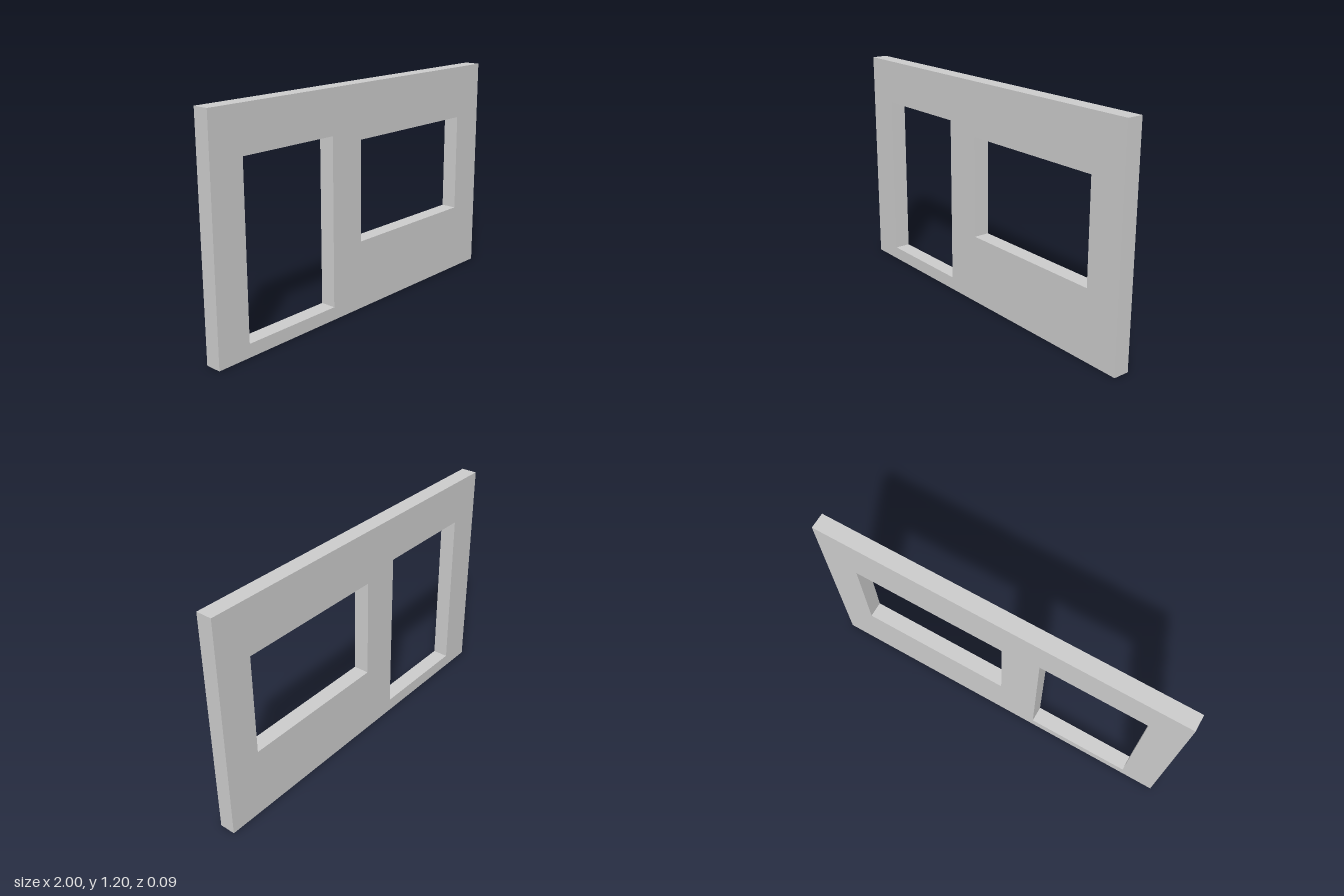
import * as THREE from 'three';

const THICKNESS = 0.086;

// Traces a rectangle from its lower-left to its upper-right corner
function traceRect(path, x0, y0, x1, y1) {
  path.moveTo(x0, y0);
  path.lineTo(x1, y0);
  path.lineTo(x1, y1);
  path.lineTo(x0, y1);
  path.closePath();
  return path;
}

export function createModel() {
  const group = new THREE.Group();
  group.name = 'wallPanel';

  // Wall outline with a door opening and a window opening
  const outline = traceRect(new THREE.Shape(), -1, 0, 1, 1.2);
  const doorOpening = traceRect(new THREE.Path(), -0.815, 0.07, -0.24, 0.963);
  const windowOpening = traceRect(new THREE.Path(), -0.032, 0.373, 0.803, 0.913);
  outline.holes.push(doorOpening, windowOpening);

  // Extruded slab, centred on z
  const geometry = new THREE.ExtrudeGeometry(outline, { depth: THICKNESS, bevelEnabled: false });
  geometry.translate(0, 0, -THICKNESS / 2);

  const wall = new THREE.Mesh(geometry, new THREE.MeshStandardMaterial({ color: 0xcccccc }));
  wall.name = 'wall';
  group.add(wall);
  return group;
}
